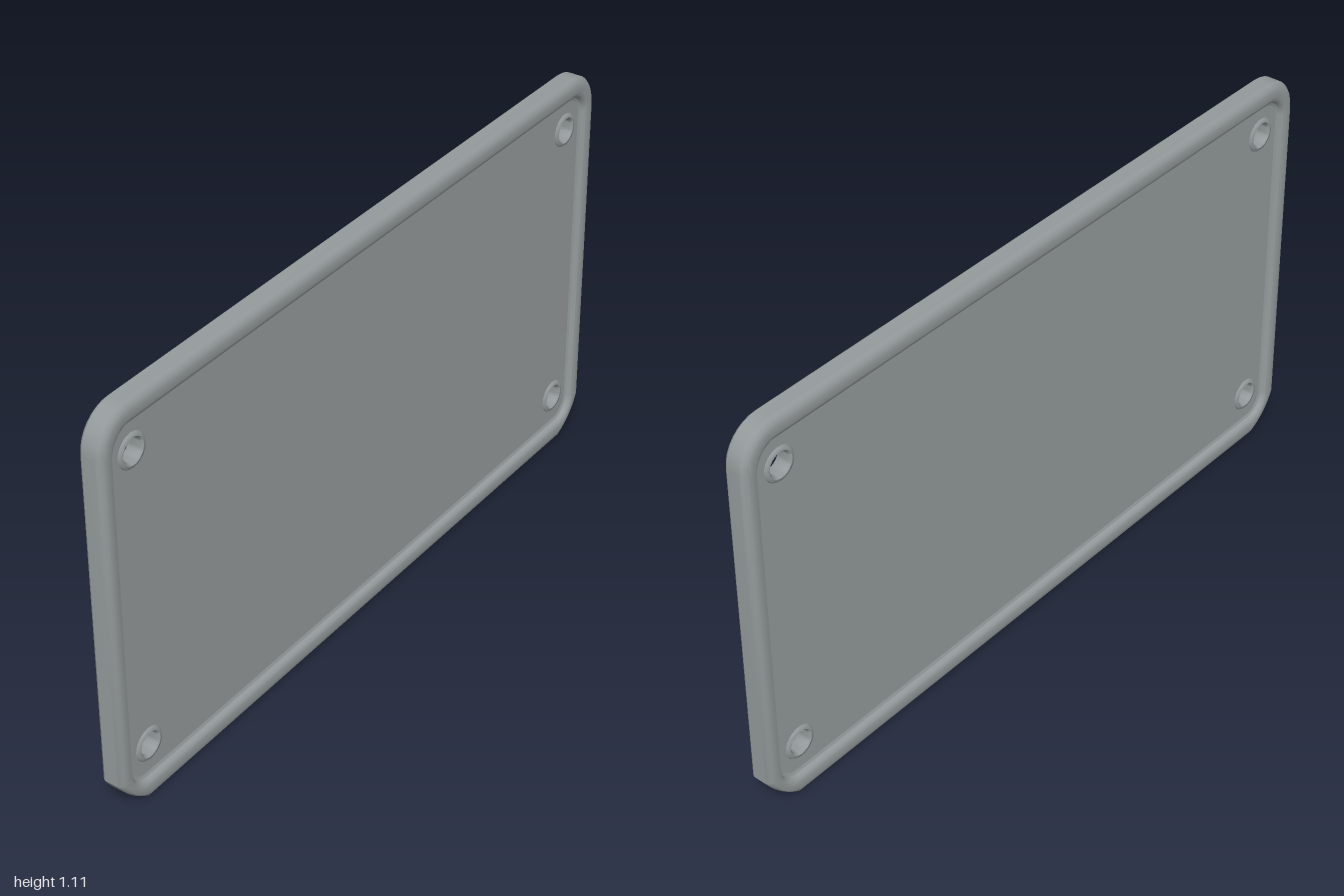
import * as THREE from 'three';
import { toCreasedNormals } from 'three/addons/utils/BufferGeometryUtils.js';

const CY = 0.555, HW = 1, HH = 0.555, PANEL = 0.016;
const material = new THREE.MeshStandardMaterial({ color: 0x949a9b });

// Counter-clockwise rounded rectangle; flat (0 to 1) turns the lower corners into chamfers
function roundedRect(hw, hh, r, flat = 0, steps = 8) {
  const points = [];
  [[1, 1], [-1, 1], [-1, -1], [1, -1]].forEach(([sx, sy], corner) => {
    const onArc = t => {
      const a = (corner + t) * Math.PI / 2;
      return new THREE.Vector2(sx * (hw - r) + r * Math.cos(a), sy * (hh - r) + r * Math.sin(a));
    };
    for (let i = 0; i <= steps; i++) {
      const chord = onArc(0).lerp(onArc(1), i / steps);
      points.push(onArc(i / steps).lerp(chord, sy < 0 ? flat : 0));
    }
  });
  return points;
}

// Sweeps an [inset, z] profile around the rounded rectangle
function frameGeometry(profile) {
  const positions = [], index = [];
  let n = 0;
  for (const [inset, z] of profile) {
    const flat = 0.7 * Math.max(0, 1 - inset / 0.04);
    const ring = roundedRect(HW - inset * 0.9, HH - inset * 1.1, 0.1 - inset * 0.8, flat);
    n = ring.length;
    ring.forEach(p => positions.push(p.x, p.y, z));
  }
  for (let j = 0; j < profile.length - 1; j++) {
    for (let i = 0; i < n; i++) {
      const k = (i + 1) % n, a = j * n, b = a + n;
      index.push(a + i, a + k, b + k, a + i, b + k, b + i);
    }
  }
  const g = new THREE.BufferGeometry();
  g.setAttribute('position', new THREE.Float32BufferAttribute(positions, 3));
  g.setIndex(index);
  return toCreasedNormals(g, 0.5);
}

export function createModel() {
  const group = new THREE.Group();
  const add = (name, geometry, x, y) => {
    const mesh = new THREE.Mesh(geometry, material);
    mesh.name = name;
    mesh.position.set(x, y, 0);
    group.add(mesh);
  };

  // Raised rim, softened on the outside and mirrored front to back
  const half = [[0, 0.019], [0.004, 0.025], [0.012, 0.031], [0.02, 0.033],
    [0.037, 0.033], [0.044, 0.031], [0.049, 0.026], [0.052, 0.019], [0.062, PANEL - 0.001]];
  const back = half.map(([inset, z]) => [inset, -z]).reverse();
  add('rim', frameGeometry([...back, ...half]), 0, CY);

  // Recessed panel with four screw holes
  const holes = [];
  for (const x of [-0.88, 0.88]) for (const y of [0.145, 0.97]) holes.push([x, y]);
  const shape = new THREE.Shape(roundedRect(HW - 0.04, HH - 0.045, 0.07));
  for (const [x, y] of holes) {
    shape.holes.push(new THREE.Path().absarc(x, y - CY, 0.034, 0, Math.PI * 2, true));
  }
  const panel = new THREE.ExtrudeGeometry(shape, { depth: PANEL * 2, bevelEnabled: false, curveSegments: 12 });
  panel.translate(0, 0, -PANEL);
  add('panel', panel, 0, CY);

  // Rounded collar lining each hole on both faces
  const collarProfile = [[0.047, -0.015], [0.042, -0.021], [0.035, -0.022], [0.03, -0.017],
    [0.03, 0.017], [0.035, 0.022], [0.042, 0.021], [0.047, 0.015], [0.047, -0.015]]
    .map(([r, h]) => new THREE.Vector2(r, h)).reverse();
  const collar = toCreasedNormals(new THREE.LatheGeometry(collarProfile, 24), 0.8);
  collar.rotateX(Math.PI / 2);
  for (const [x, y] of holes) add('holeCollar', collar, x, y);

  return group;
}
